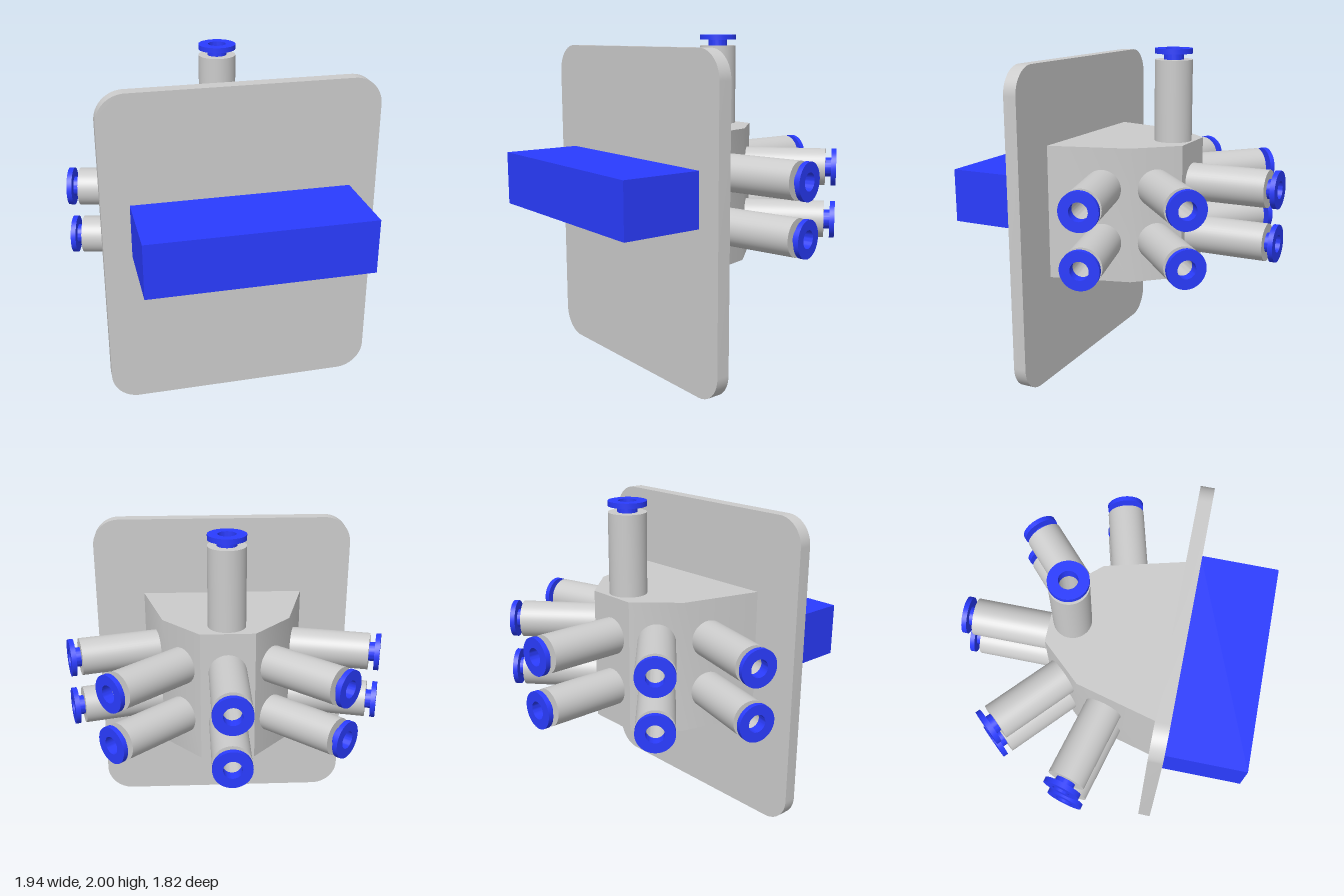
import * as THREE from 'three';
import { toCreasedNormals } from 'three/addons/utils/BufferGeometryUtils.js';

const grey = new THREE.MeshStandardMaterial({ color: 0xcccccc });
const blue = new THREE.MeshStandardMaterial({ color: 0x2a3cff });
const UP = new THREE.Vector3(0, 1, 0);

function lathe(points) {
  const profile = points.map(([r, y]) => new THREE.Vector2(r, y));
  return toCreasedNormals(new THREE.LatheGeometry(profile, 48), 0.6);
}

// Fitting: hollow barrel with a flanged release collar, pointing along +y
const R = 0.112, BORE = 0.053, LEN = 0.48;
const barrelGeo = lathe([[0, 0], [R, 0], [R, LEN], [BORE, LEN], [BORE, 0.01], [0, 0.01]]);
const collarGeo = lathe([[0.058, LEN], [0.058, LEN + 0.035], [R, LEN + 0.035],
  [R, LEN + 0.065], [BORE, LEN + 0.065], [BORE, LEN]]);

function makeFitting(name, position, direction) {
  const fitting = new THREE.Group();
  fitting.name = name;
  const barrel = new THREE.Mesh(barrelGeo, grey);
  barrel.name = 'barrel';
  const collar = new THREE.Mesh(collarGeo, blue);
  collar.name = 'releaseCollar';
  fitting.add(barrel, collar);
  fitting.position.set(...position);
  fitting.quaternion.setFromUnitVectors(UP, new THREE.Vector3(...direction).normalize());
  return fitting;
}

// Upright plate with rounded corners
function makePlate() {
  const w = 0.805, h = 1.935, r = 0.165;
  const s = new THREE.Shape();
  s.absarc(w - r, r, r, -Math.PI / 2, 0);
  s.absarc(w - r, h - r, r, 0, Math.PI / 2);
  s.absarc(-w + r, h - r, r, Math.PI / 2, Math.PI);
  s.absarc(-w + r, r, r, Math.PI, Math.PI * 1.5);
  s.closePath();
  const geo = new THREE.ExtrudeGeometry(s, { depth: 0.08, bevelEnabled: false, curveSegments: 12 });
  geo.translate(0, 0, 0.345);
  const plate = new THREE.Mesh(toCreasedNormals(geo, 0.6), grey);
  plate.name = 'mountingPlate';
  return plate;
}

// Faceted manifold block with a vertical port
function makeManifold() {
  const half = [[0.5, 0.345], [0.375, -0.13], [0.16, -0.365]];
  const outline = [...half, ...half.map(([x, z]) => [-x, z]).reverse()];
  const s = new THREE.Shape(outline.map(([x, z]) => new THREE.Vector2(x, z)));
  const port = new THREE.Path();
  port.absarc(0, -0.235, 0.108, 0, Math.PI * 2);
  s.holes.push(port);
  const geo = new THREE.ExtrudeGeometry(s, { depth: 0.805, bevelEnabled: false, curveSegments: 24 });
  geo.rotateX(Math.PI / 2).translate(0, 1.455, 0);
  const body = new THREE.Mesh(toCreasedNormals(geo, 0.5), grey);
  body.name = 'manifoldBody';
  return body;
}

export function createModel() {
  const model = new THREE.Group();
  model.name = 'pneumaticManifold';
  model.add(makePlate(), makeManifold());

  // Front connector block
  const block = new THREE.Mesh(new THREE.BoxGeometry(1.286, 0.32, 0.485), blue);
  block.name = 'frontBlock';
  block.position.set(0, 1.13, 0.6675);
  model.add(block);

  // Fittings: one on top, two rows around the back
  model.add(makeFitting('topFitting', [0, 1.455, -0.235], [0, 1, 0]));
  for (const [row, y] of [['upper', 1.213], ['lower', 0.89]]) {
    model.add(makeFitting(row + 'BackFitting', [0, y, -0.365], [0, 0, -1]));
    for (const [side, m] of [['Left', 1], ['Right', -1]]) {
      model.add(makeFitting(row + side + 'DiagonalFitting', [m * 0.268, y, -0.247], [m * 0.74, 0, -0.672]));
      model.add(makeFitting(row + side + 'SideFitting', [m * 0.414, y, 0.031], [m * 0.967, 0, -0.255]));
    }
  }
  return model;
}
